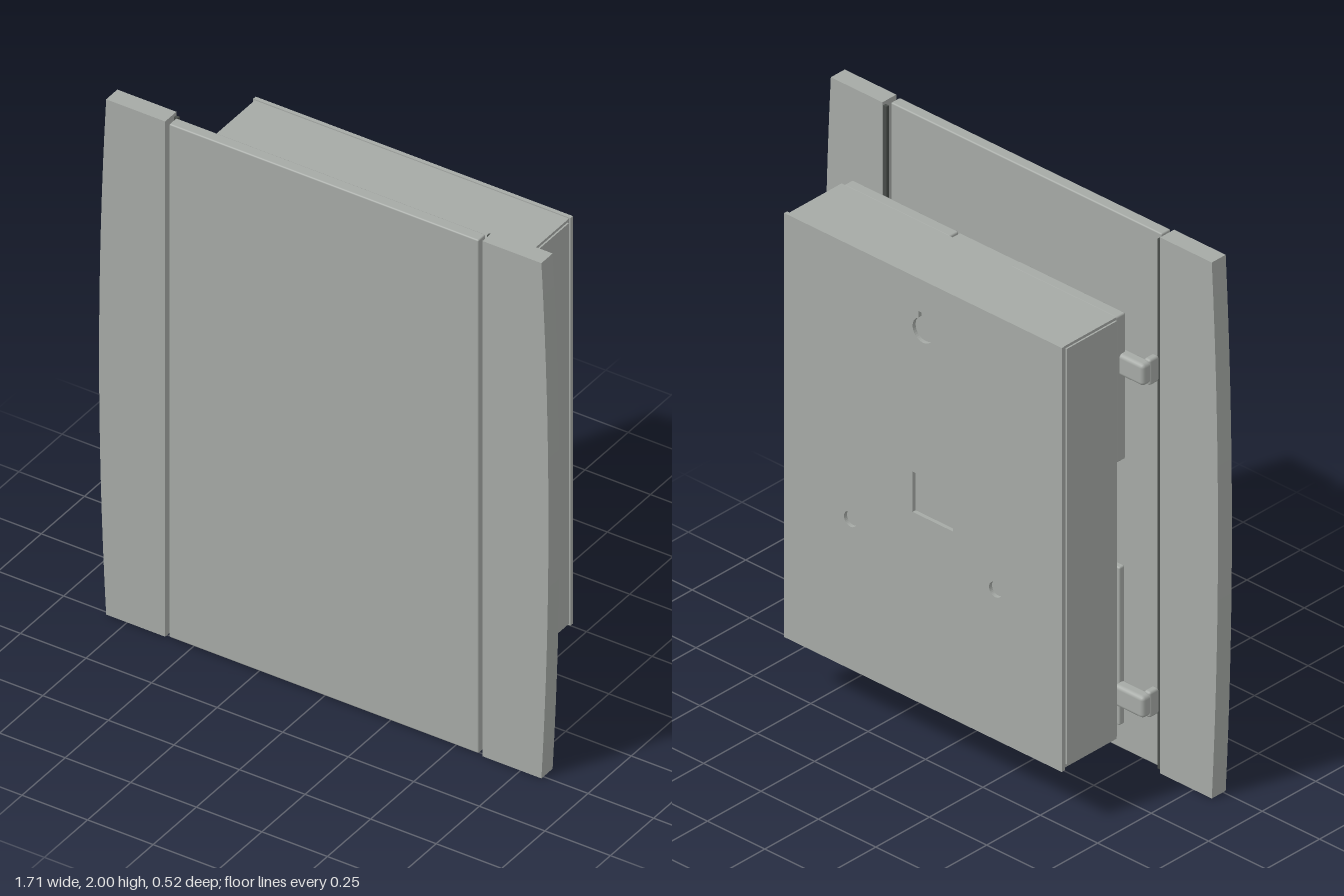
import * as THREE from 'three';
import { RoundedBoxGeometry } from 'three/addons/geometries/RoundedBoxGeometry.js';

export function createModel() {
  const model = new THREE.Group();
  const grey = new THREE.MeshStandardMaterial({ color: 0xa6aaa6 });
  grey.name = 'grey';
  const dark = new THREE.MeshStandardMaterial({ color: 0x484c49 });
  dark.name = 'darkGap';

  function add(name, geometry, material = grey) {
    const mesh = new THREE.Mesh(geometry, material);
    mesh.name = name;
    model.add(mesh);
    return mesh;
  }
  // Box given by its limits on each axis, optionally with soft edges
  function block(name, x0, x1, y0, y1, z0, z1, radius = 0, material = grey) {
    const size = [x1 - x0, y1 - y0, z1 - z0];
    const geometry = radius
      ? new RoundedBoxGeometry(...size, 2, radius)
      : new THREE.BoxGeometry(...size);
    geometry.translate((x0 + x1) / 2, (y0 + y1) / 2, (z0 + z1) / 2);
    return add(name, geometry, material);
  }
  function extrude(shape, z0, z1) {
    const geometry = new THREE.ExtrudeGeometry(shape, {
      depth: z1 - z0, bevelEnabled: false, curveSegments: 16,
    });
    return geometry.translate(0, 0, z0);
  }
  function rectangle(x0, x1, y0, y1, Type = THREE.Shape) {
    return new Type([
      new THREE.Vector2(x0, y0), new THREE.Vector2(x1, y0),
      new THREE.Vector2(x1, y1), new THREE.Vector2(x0, y1),
    ]);
  }

  // Front cover: flat centre panel
  block('centrePanel', -0.59, 0.59, 0.004, 1.996, 0.22, 0.262, 0.005);

  // Bowed side panels and the dark strips in the gaps
  for (const side of [-1, 1]) {
    const shape = new THREE.Shape();
    shape.moveTo(side * 0.605, 0);
    shape.lineTo(side * 0.83, 0);
    shape.quadraticCurveTo(side * 0.884, 1, side * 0.83, 2);
    shape.lineTo(side * 0.605, 2);
    shape.closePath();
    add(side > 0 ? 'leftPanel' : 'rightPanel', extrude(shape, 0.197, 0.262));
    const xs = [side * 0.59, side * 0.606].sort((a, b) => a - b);
    block('gapStrip', xs[0], xs[1], 0.012, 1.988, 0.2, 0.212, 0, dark);
  }

  // Back plate with keyhole, cable opening and two screw holes
  const back = rectangle(-0.605, 0.605, 0.21, 1.792);
  const keyhole = new THREE.Path();
  keyhole.absarc(0, 1.605, 0.045, Math.PI * 0.65, Math.PI * 2.35, false);
  keyhole.lineTo(0.02, 1.67);
  keyhole.lineTo(-0.02, 1.67);
  keyhole.closePath();
  back.holes.push(keyhole, rectangle(-0.13, 0.045, 0.91, 1.06, THREE.Path));
  for (const x of [-0.316, 0.316]) {
    const hole = new THREE.Path();
    hole.absarc(x, 0.77, 0.028, 0, Math.PI * 2, false);
    back.holes.push(hole);
  }
  add('backPlate', extrude(back, -0.262, -0.248));

  // Hollow housing: surrounding wall, side flanges, inner floor and front
  const wall = rectangle(-0.599, 0.599, 0.215, 1.788);
  wall.holes.push(rectangle(-0.575, 0.575, 0.24, 1.764, THREE.Path));
  add('housingWall', extrude(wall, -0.248, 0));
  for (const side of [-1, 1]) {
    block('sideFlange', side * 0.602 - 0.003, side * 0.602 + 0.003,
      0.228, 1.778, -0.238, -0.004);
  }
  block('innerFloor', -0.575, 0.575, 0.24, 1.764, -0.2, -0.19);
  block('cableStop', -0.13, -0.06, 0.99, 1.06, -0.235, -0.2);
  block('housingFront', -0.575, 0.575, 0.24, 1.764, -0.015, -0.003);

  // Raised blocks on the housing front
  block('upperBlock', -0.597, -0.135, 1.24, 1.785, 0, 0.045, 0.006);
  block('upperBlock', 0.13, 0.592, 1.24, 1.785, 0, 0.045, 0.006);
  block('bridge', -0.135, 0.13, 1.18, 1.775, 0, 0.05);
  block('coilBase', -0.3, 0.3, 0.9, 1.17, 0, 0.022);
  block('coilCover', -0.32, 0.32, 0.895, 1.175, 0.022, 0.058, 0.006);

  // Two sounding bars
  block('upperBar', -0.57, 0.58, 1.24, 1.7, 0.045, 0.056, 0.004);
  block('lowerBar', -0.57, 0.58, 0.23, 0.82, 0.045, 0.07, 0.006);

  // Hooked arms reaching out on one side
  for (const y of [0.36, 1.6]) {
    block('arm', -0.7, -0.57, y - 0.04, y + 0.04, 0.015, 0.062, 0.014);
    block('armTip', -0.702, -0.675, y - 0.048, y + 0.048, 0.045, 0.09, 0.009);
  }

  return model;
}
